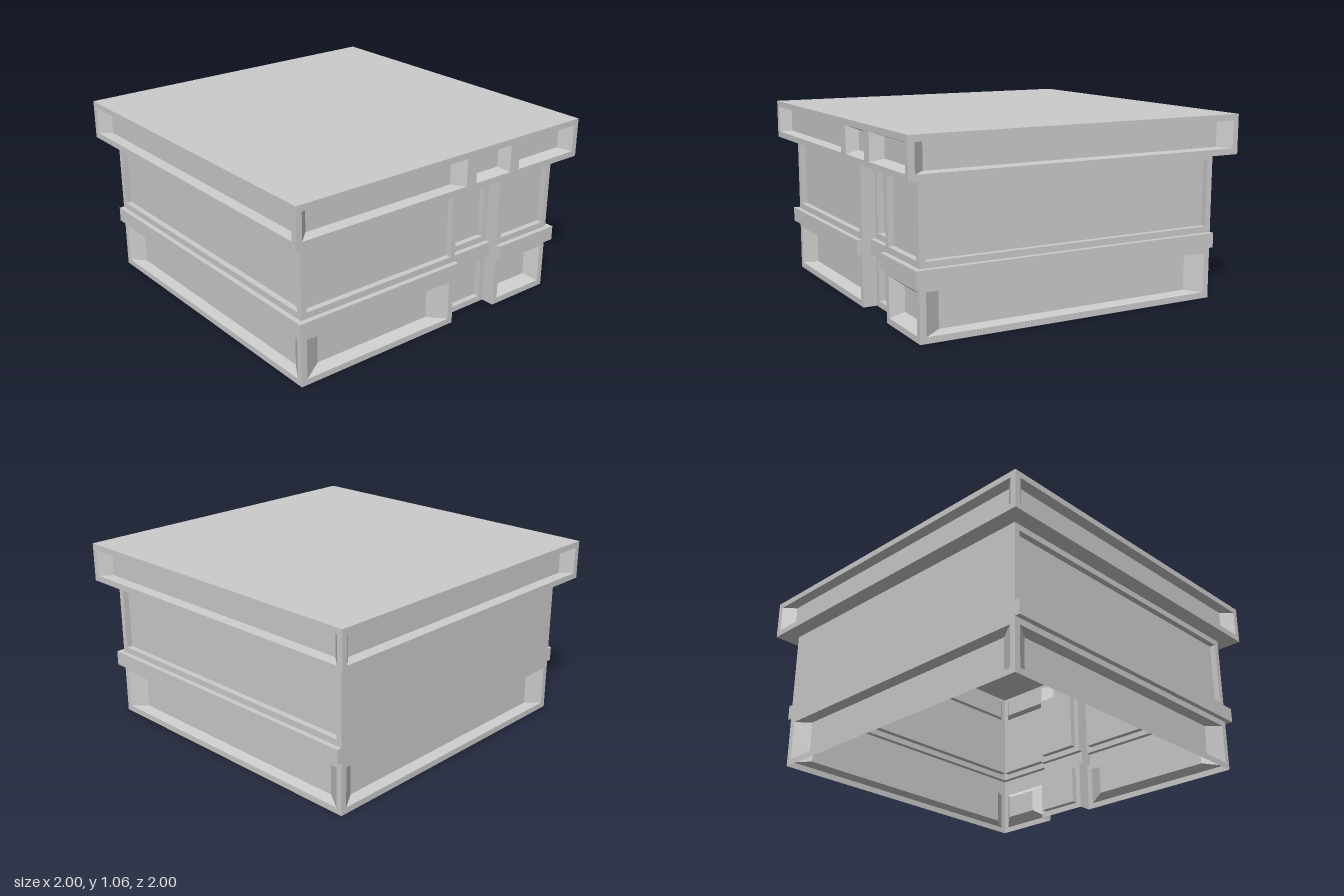
import * as THREE from 'three';

const material = new THREE.MeshStandardMaterial({ color: 0xcccccc, flatShading: true, side: THREE.DoubleSide });

// Main levels and half widths
const BELT_LOW = 0.3, BELT_TOP = 0.385, EAVES = 0.835, TOP = 1.06;
const BODY = 0.905, BELT = 0.935, ROOF = 1;
const DOOR_L = 0.155, DOOR_R = 0.485, RECESS = 0.08;
const MARGIN = 0.035;

// Mesh from four-cornered faces, corners counter-clockwise from outside
function quadMesh(name, quads) {
  const pos = [];
  const area = new THREE.Vector3(), edge = new THREE.Vector3();
  const tri = (a, b, c) => {
    area.subVectors(b, a).cross(edge.subVectors(c, a));
    if (area.length() > 1e-7) for (const p of [a, b, c]) pos.push(p.x, p.y, p.z);
  };
  for (const [a, b, c, d] of quads) {
    tri(a, b, c);
    tri(a, c, d);
  }
  const geometry = new THREE.BufferGeometry();
  geometry.setAttribute('position', new THREE.Float32BufferAttribute(pos, 3));
  geometry.computeVertexNormals();
  const mesh = new THREE.Mesh(geometry, material);
  mesh.name = name;
  return mesh;
}

const rect = (x0, x1, y0, y1, z) => [
  new THREE.Vector3(x0, y0, z), new THREE.Vector3(x1, y0, z),
  new THREE.Vector3(x1, y1, z), new THREE.Vector3(x0, y1, z)];

// Wall face with a sunken panel; scale shrinks the panel floor to slope its sides
function panelWall(name, x0, x1, y0, y1, z, depth, scale) {
  const m = MARGIN;
  const cx = (x0 + x1) / 2, cy = (y0 + y1) / 2;
  const hx = ((x1 - x0) / 2 - m) * scale, hy = ((y1 - y0) / 2 - m) * scale;
  const rings = [
    rect(x0, x1, y0, y1, z),
    rect(x0 + m, x1 - m, y0 + m, y1 - m, z),
    rect(cx - hx, cx + hx, cy - hy, cy + hy, z - depth)];
  const quads = [rings[2]];
  for (let r = 0; r < 2; r++) {
    for (let i = 0; i < 4; i++) {
      const j = (i + 1) % 4;
      quads.push([rings[r][i], rings[r][j], rings[r + 1][j], rings[r + 1][i]]);
    }
  }
  return quadMesh(name, quads);
}

// Skin through cross-sections given as [outline, height], bottom to top
function skin(name, sections) {
  const quads = [];
  for (let s = 0; s + 1 < sections.length; s++) {
    const [low, y0] = sections[s], [high, y1] = sections[s + 1];
    for (let i = 0; i + 1 < low.length; i++) {
      quads.push([
        new THREE.Vector3(low[i][0], y0, low[i][1]), new THREE.Vector3(low[i + 1][0], y0, low[i + 1][1]),
        new THREE.Vector3(high[i + 1][0], y1, high[i + 1][1]), new THREE.Vector3(high[i][0], y1, high[i][1])]);
    }
  }
  return quadMesh(name, quads);
}

// Plan outline from the back around the front, stepping in at the doorway
const outline = (r) => [
  [-r, -BODY], [-r, r], [DOOR_L, r], [DOOR_L, r - RECESS],
  [DOOR_R, r - RECESS], [DOOR_R, r], [r, r], [r, -BODY]];

export function createModel() {
  const model = new THREE.Group();
  model.name = 'building';
  const SLOPED = 0.06, STRAIGHT = 0.035;

  // Front: three bays, the middle one set back as the doorway
  const front = new THREE.Group();
  front.name = 'frontWall';
  const bays = [
    { name: 'wide', x0: -BODY, x1: DOOR_L, z: BODY, base: 0.77, roof: 0.88, r0: -ROOF, r1: DOOR_L },
    { name: 'door', x0: DOOR_L, x1: DOOR_R, z: BODY - RECESS, base: 1, roof: 0.7, r0: DOOR_L, r1: DOOR_R },
    { name: 'narrow', x0: DOOR_R, x1: BODY, z: BODY, base: 0.61, roof: 0.73, r0: DOOR_R, r1: ROOF }];
  for (const b of bays) {
    front.add(
      panelWall(b.name + 'BasePanel', b.x0, b.x1, 0, BELT_LOW, b.z, b.base === 1 ? STRAIGHT : SLOPED, b.base),
      panelWall(b.name + 'UpperPanel', b.x0, b.x1, BELT_TOP, EAVES, b.z, STRAIGHT, 1),
      panelWall(b.name + 'RoofPanel', b.r0, b.r1, EAVES, TOP, ROOF, SLOPED, b.roof));
  }
  // Doorway returns
  for (const [x, z0, z1] of [[DOOR_L, BODY, BODY - RECESS], [DOOR_R, BODY - RECESS, BODY]]) {
    for (const [y0, y1] of [[0, BELT_LOW], [BELT_TOP, EAVES]]) {
      front.add(skin('doorwayReturn', [[[[x, z0], [x, z1]], y0], [[[x, z0], [x, z1]], y1]]));
    }
  }
  model.add(front);

  // Sides and back: one long bay each; the back is plain above its base
  for (const [name, angle] of [['leftWall', Math.PI / 2], ['backWall', Math.PI], ['rightWall', -Math.PI / 2]]) {
    const wall = new THREE.Group();
    wall.name = name;
    wall.rotation.y = angle;
    wall.add(
      panelWall('basePanel', -BODY, BODY, 0, BELT_LOW, BODY, SLOPED, 0.89),
      panelWall('roofPanel', -ROOF, ROOF, EAVES, TOP, ROOF, SLOPED, 0.93));
    if (name === 'backWall') {
      wall.add(quadMesh('plainWall', [
        rect(-BODY, BODY, BELT_LOW, EAVES, BODY),
        rect(-BELT, -BODY, BELT_LOW, BELT_TOP, BODY),
        rect(BODY, BELT, BELT_LOW, BELT_TOP, BODY)]));
    } else {
      wall.add(panelWall('upperPanel', -BODY, BODY, BELT_TOP, EAVES, BODY, STRAIGHT, 1));
    }
    model.add(wall);
  }

  // Projecting belt course
  const inner = outline(BODY), outer = outline(BELT);
  model.add(skin('beltCourse', [[inner, BELT_LOW], [outer, BELT_LOW], [outer, BELT_TOP], [inner, BELT_TOP]]));

  // Soffit under the overhang, open to the hollow inside
  const soffitShape = new THREE.Shape(rect(-ROOF, ROOF, -ROOF, ROOF, 0).map((p) => new THREE.Vector2(p.x, p.y)));
  soffitShape.holes.push(new THREE.Path(inner.map(([x, z]) => new THREE.Vector2(x, z))));
  const soffit = new THREE.Mesh(new THREE.ShapeGeometry(soffitShape), material);
  soffit.name = 'soffit';
  soffit.rotation.x = Math.PI / 2;
  soffit.position.y = EAVES;
  model.add(soffit);

  // Flat roof
  const roof = new THREE.Mesh(new THREE.PlaneGeometry(2 * ROOF, 2 * ROOF), material);
  roof.name = 'roof';
  roof.rotation.x = -Math.PI / 2;
  roof.position.y = TOP;
  model.add(roof);

  return model;
}
